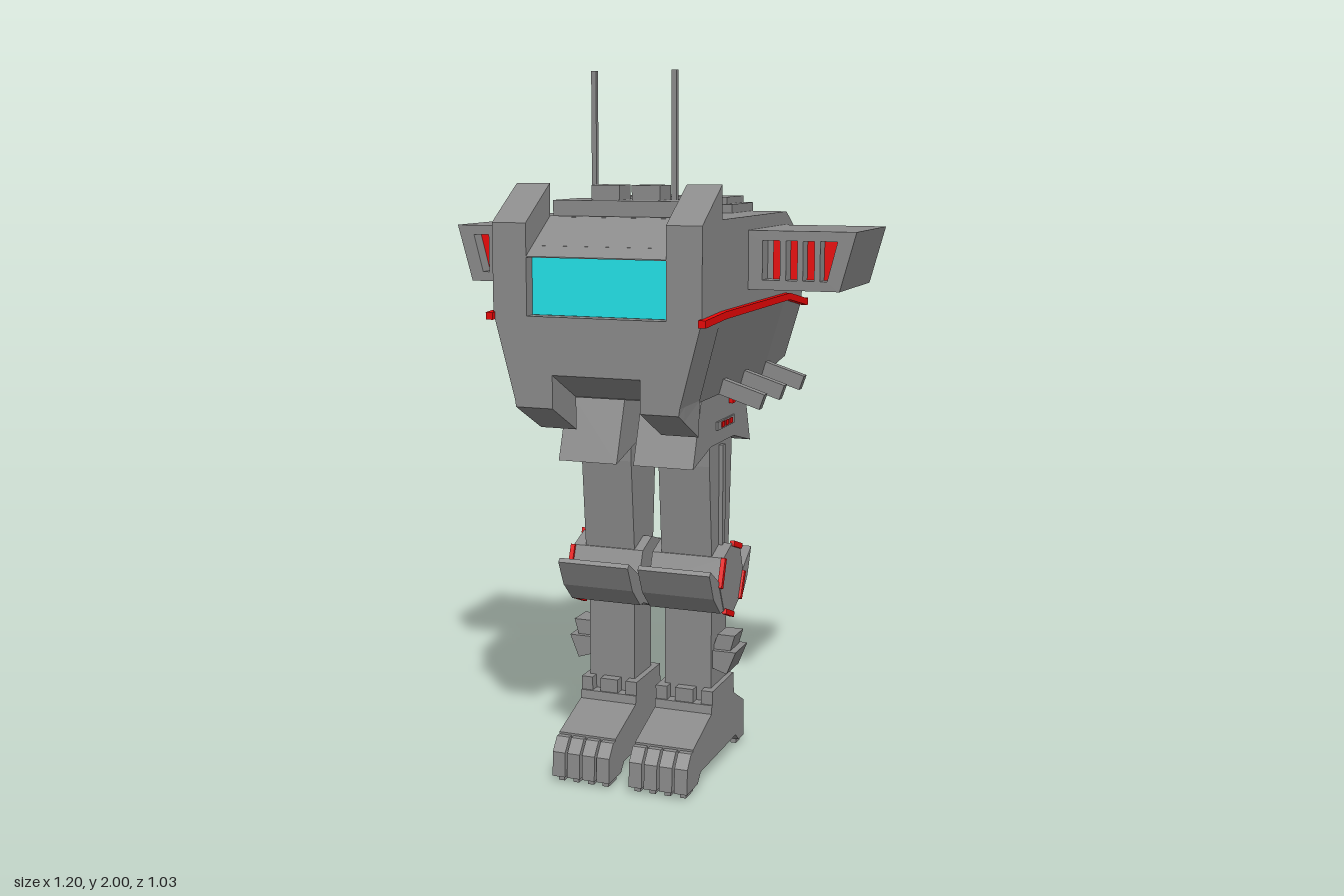
import * as THREE from 'three';

const mat = (color) => new THREE.MeshStandardMaterial({ color, flatShading: true });

// Side profile of [z, y] points, extruded from x0 to x1
function profile(points, x0, x1) {
  const shape = new THREE.Shape(points.map(([z, y]) => new THREE.Vector2(z, y)));
  const g = new THREE.ExtrudeGeometry(shape, { depth: x1 - x0, bevelEnabled: false });
  return g.rotateY(-Math.PI / 2).translate(x1, 0, 0);
}

// Front outline of [x, y] points, extruded from z0 to z1
function frontProfile(points, z0, z1, holes = []) {
  const toVecs = (pts) => pts.map(([x, y]) => new THREE.Vector2(x, y));
  const shape = new THREE.Shape(toVecs(points));
  holes.forEach((h) => shape.holes.push(new THREE.Path(toVecs(h))));
  return new THREE.ExtrudeGeometry(shape, { depth: z1 - z0, bevelEnabled: false }).translate(0, 0, z0);
}

// Box given by its limits on each axis
function box(x0, x1, y0, y1, z0, z1) {
  return new THREE.BoxGeometry(x1 - x0, y1 - y0, z1 - z0)
    .translate((x0 + x1) / 2, (y0 + y1) / 2, (z0 + z1) / 2);
}

// Bar between two [z, y] points
function bar(a, b, x0, x1, thick) {
  const dz = b[0] - a[0], dy = b[1] - a[1];
  return new THREE.BoxGeometry(x1 - x0, thick, Math.hypot(dz, dy))
    .rotateX(-Math.atan2(dy, dz))
    .translate((x0 + x1) / 2, (a[1] + b[1]) / 2, (a[0] + b[0]) / 2);
}

// Skin over counter-clockwise outlines, ordered front to back: [{ z, pts }]
function loft(sections) {
  const n = sections[0].pts.length, pos = [], idx = [];
  sections.forEach(({ z, pts }) => pts.forEach(([x, y]) => pos.push(x, y, z)));
  for (let s = 0; s < sections.length - 1; s++) {
    for (let i = 0; i < n; i++) {
      const a = s * n + i, b = s * n + (i + 1) % n;
      idx.push(a, b + n, b, a, a + n, b + n);
    }
  }
  const cap = (k) => THREE.ShapeUtils.triangulateShape(sections[k].pts.map(([x, y]) => new THREE.Vector2(x, y)), []);
  const last = sections.length - 1;
  cap(0).forEach(([a, b, c]) => idx.push(a, b, c));
  cap(last).forEach(([a, b, c]) => idx.push(last * n + a, last * n + c, last * n + b));
  const g = new THREE.BufferGeometry();
  g.setAttribute('position', new THREE.Float32BufferAttribute(pos, 3));
  g.setIndex(idx);
  return g;
}

// Complete a symmetric outline from its +x half, listed bottom to top
const symmetric = (half) => [...half, ...half.map(([x, y]) => [-x, y]).reverse()];

// Mirror across x and turn the triangles round again
function mirror(geometry) {
  const g = geometry.clone(), p = g.attributes.position.array;
  for (let i = 0; i < p.length; i += 9) {
    for (let k = 0; k < 3; k++) [p[i + 3 + k], p[i + 6 + k]] = [p[i + 6 + k], p[i + 3 + k]];
  }
  for (let i = 0; i < p.length; i += 3) p[i] *= -1;
  g.computeVertexNormals();
  return g;
}

export function createModel() {
  const grey = mat(0x8b8b8b), red = mat(0xee0606), cyan = mat(0x22e4ea);
  const model = new THREE.Group();
  const body = new THREE.Group(), leftLeg = new THREE.Group(), rightLeg = new THREE.Group();
  body.name = 'body'; leftLeg.name = 'leftLeg'; rightLeg.name = 'rightLeg';
  model.add(body, leftLeg, rightLeg);

  const add = (name, geometry, material = grey, parent = body) => {
    const g = geometry.index ? geometry.toNonIndexed() : geometry;
    g.deleteAttribute('uv');
    g.computeVertexNormals();
    const mesh = new THREE.Mesh(g, material);
    mesh.name = name;
    parent.add(mesh);
    return g;
  };
  const pair = (name, geometry, material = grey, left = body, right = body) => {
    const g = add(name + 'Left', geometry, material, left);
    add(name + 'Right', mirror(g), material, right);
  };
  const leg = (name, geometry, material = grey) => pair(name, geometry, material, leftLeg, rightLeg);

  // Hull with sloping tail
  const hull = (z, bottomW, y0, y1, y2) =>
    ({ z, pts: symmetric([[bottomW, y0], [0.295, y1], [0.295, y2]]) });
  add('hull', loft([hull(0.35, 0.225, 1.12, 1.36, 1.61), hull(-0.24, 0.225, 1.12, 1.36, 1.61),
    hull(-0.415, 0.244, 1.16, 1.335, 1.51)]));

  // Cab front with cheek fins above and below, recessed for the windscreen
  const cab = (z, notchTop, finTop, finBottom, notchBottom) => ({ z, pts: symmetric([
    [0.125, notchBottom], [0.125, finBottom], [0.232, finBottom], [0.235, 1.13],
    [0.295, 1.36], [0.295, finTop], [0.197, finTop], [0.197, notchTop]]) });
  add('cabFront', loft([cab(0.5, 1.355, 1.6, 1.11, 1.2), cab(0.46, 1.355, 1.626, 1.089, 1.179),
    cab(0.46, 1.539, 1.626, 1.089, 1.179), cab(0.345, 1.613, 1.7, 1.03, 1.12)]));
  add('brow', profile([[0.455, 1.51], [0.5, 1.51], [0.5, 1.513], [0.455, 1.542]], -0.197, 0.197));
  add('windscreen', box(-0.196, 0.196, 1.356, 1.51, 0.45, 0.465), cyan);

  // Tail box
  const tail = (z, w, y0) => ({ z, pts: symmetric([[w, y0], [w, 1.335], [w, 1.505]]) });
  add('tailBox', loft([tail(-0.4, 0.19, 1.16), tail(-0.415, 0.19, 1.16), tail(-0.515, 0.114, 1.215)]));

  // Red stripe round the hull
  const stripe = [[0.515, 1.353], [0.35, 1.361], [-0.24, 1.361], [-0.43, 1.328]];
  for (let i = 0; i < 3; i++) pair('sideStripe' + i, bar(stripe[i], stripe[i + 1], 0.29, 0.31, 0.02), red);
  pair('rearStripe', box(0.19, 0.31, 1.32, 1.34, -0.435, -0.41), red);

  // Roof deck, boxes, aerials and hatch
  add('roofDeck', box(-0.19, 0.19, 1.6, 1.655, 0.145, 0.34));
  pair('roofBox', box(0.018, 0.1, 1.65, 1.695, 0.205, 0.287));
  pair('aerial', box(0.11, 0.124, 1.64, 2, 0.213, 0.227));
  add('hatchBase', box(-0.19, 0.19, 1.6, 1.635, -0.245, -0.05));
  add('hatchLid', box(-0.167, 0.167, 1.63, 1.655, -0.225, -0.073));

  // Shoulder pods with slotted red vents
  const pod = [[0.28, 1.41], [0.553, 1.41], [0.598, 1.572], [0.28, 1.572]];
  const slots = [[0.335, 0.385], [0.402, 0.434], [0.45, 0.482]].map(([a, b]) =>
    [[a, 1.437], [a, 1.545], [b, 1.545], [b, 1.437]]);
  slots.push([[0.498, 1.437], [0.498, 1.545], [0.546, 1.545], [0.518, 1.437]]);
  pair('podFront', frontProfile(pod, 0.07, 0.12, slots));
  pair('podRear', frontProfile(pod, -0.22, 0.07));
  pair('ventInside', frontProfile([[0.352, 1.43], [0.535, 1.43], [0.55, 1.55], [0.352, 1.55]], 0.065, 0.075), red);

  // Angled barrels under the hull
  for (const z of [0.145, -0.045, -0.25]) {
    pair('barrel', frontProfile([[0.21, 1.125], [0.342, 1.083], [0.357, 1.125], [0.225, 1.167]], z - 0.014, z + 0.014));
  }

  // Hip armour with flared skirts
  leg('hip', profile([[0.23, 1.125], [0.3, 0.93], [0.15, 0.968], [-0.05, 0.968], [-0.205, 0.93], [-0.14, 1.125]], 0.025, 0.2));
  leg('hipVent', box(0.19, 0.206, 1.008, 1.032, -0.04, 0.11));
  for (const z of [-0.005, 0.03, 0.065]) leg('hipVentLight', box(0.2, 0.208, 1.012, 1.028, z - 0.012, z + 0.012), red);
  leg('hipLight', box(0.19, 0.212, 1.07, 1.09, -0.027, -0.003), red);

  // Thigh with side rod
  leg('thigh', profile([[0.15, 0.98], [0.15, 0.91], [0.122, 0.6], [-0.02, 0.6], [-0.045, 0.93], [-0.045, 0.98]], 0.042, 0.195));
  leg('thighRod', box(0.19, 0.207, 0.65, 0.96, 0.043, 0.067));

  // Octagonal knee with red pads and guards
  const knee = [[0.055, 0.672], [0.128, 0.645], [0.16, 0.565], [0.122, 0.488],
    [0.05, 0.46], [-0.013, 0.49], [-0.05, 0.565], [-0.02, 0.647]];
  leg('knee', profile(knee, 0.015, 0.232));
  for (const i of [1, 3, 5, 7]) leg('kneePad', bar(knee[i], knee[(i + 1) % 8], 0.226, 0.239, 0.016), red);
  leg('kneeGuardFront', profile([[0.235, 0.63], [0.246, 0.62], [0.21, 0.545], [0.15, 0.488], [0.11, 0.488], [0.15, 0.575]], 0.015, 0.23));
  leg('kneeGuardRear', profile([[-0.125, 0.615], [-0.133, 0.62], [-0.1, 0.54], [-0.05, 0.485], [0, 0.49], [-0.045, 0.565]], 0.015, 0.23));

  // Shin and its side pod
  leg('shin', box(0.048, 0.19, 0.18, 0.52, -0.02, 0.112));
  leg('shinPodTop', frontProfile([[0.18, 0.345], [0.235, 0.345], [0.252, 0.405], [0.2, 0.405]], 0.005, 0.085));
  leg('shinPodBase', frontProfile([[0.18, 0.31], [0.233, 0.293], [0.26, 0.36], [0.18, 0.36]], -0.01, 0.1));

  // Foot, split toes and heel claws
  leg('foot', profile([[0.305, 0.045], [0.305, 0.133], [0.15, 0.185], [0.147, 0.21], [-0.052, 0.21], [-0.055, 0.185],
    [-0.15, 0.132], [-0.15, 0.02], [-0.105, 0.02], [-0.075, 0.045]], 0.03, 0.205));
  for (let i = 0; i < 4; i++) {
    const x = 0.03 + i * 0.0455;
    leg('toe', profile([[0.24, 0.046], [0.265, 0.018], [0.355, 0.018], [0.352, 0.09], [0.322, 0.127], [0.24, 0.127]], x, x + 0.0385));
    leg('toeClaw', box(x + 0.01, x + 0.028, 0, 0.02, 0.275, 0.335));
    leg('heelClaw', box(x + 0.01, x + 0.028, 0.005, 0.022, -0.145, -0.11));
  }

  // Notched ankle cuff
  for (const [x0, x1] of [[0.03, 0.065], [0.09, 0.145], [0.17, 0.205]]) {
    leg('cuffFront', box(x0, x1, 0.2, 0.25, 0.112, 0.142));
    leg('cuffRear', box(x0, x1, 0.2, 0.25, -0.05, -0.02));
  }
  leg('cuffOuter', box(0.185, 0.205, 0.2, 0.25, -0.05, 0.142));
  leg('cuffInner', box(0.03, 0.05, 0.2, 0.25, -0.05, 0.142));

  return model;
}
